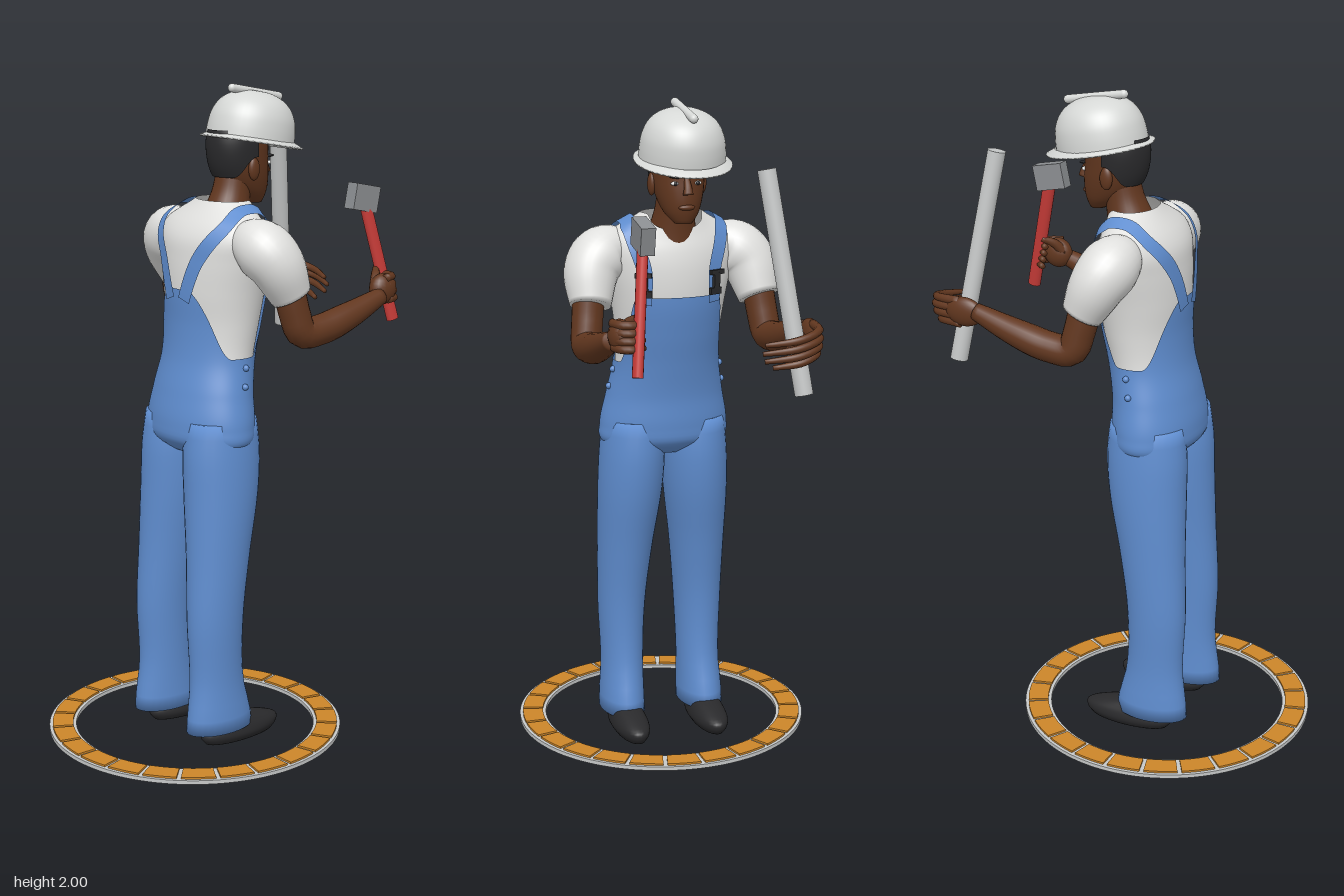
import * as THREE from 'three';
import { mergeVertices } from 'three/addons/utils/BufferGeometryUtils.js';

const V = (x, y, z) => new THREE.Vector3(x, y, z);
const mat = (name, color, side = THREE.FrontSide) => {
  const m = new THREE.MeshStandardMaterial({ color, side });
  m.name = name;
  return m;
};

// smooth surface from a rule p(u, v), faces outward along u x v
function grid(nu, nv, p) {
  const pos = [], idx = [];
  for (let j = 0; j <= nu; j++) for (let i = 0; i <= nv; i++) pos.push(...p(j / nu, i / nv, j).toArray());
  for (let j = 0; j < nu; j++) for (let i = 0; i < nv; i++) {
    const a = j * (nv + 1) + i, c = a + nv + 1;
    idx.push(a, c, a + 1, a + 1, c, c + 1);
  }
  let g = new THREE.BufferGeometry();
  g.setAttribute('position', new THREE.Float32BufferAttribute(pos, 3));
  g.setIndex(idx);
  g = mergeVertices(g, 1e-5);
  g.computeVertexNormals();
  return g;
}

// body of elliptical sections: rows of [y, centre x, centre z, radius x, radius z]
function body(rows, grow = 0) {
  const f = new THREE.CubicInterpolant(rows.map(r => r[0]), rows.flatMap(r => r.slice(1)), 4);
  return (y, a, k = 1) => {
    const [xc, zc, rx, rz] = f.evaluate(y);
    return V(xc + k * (rx + grow) * Math.cos(a), y, zc + k * (rz + grow) * Math.sin(a));
  };
}
function loft(rows, n = 32, m = 24) {
  const s = body(rows), y0 = rows[0][0], y1 = rows[rows.length - 1][0];
  return grid(m, n, (u, v, j) => s(y0 + (y1 - y0) * THREE.MathUtils.clamp((j - 1) / (m - 2), 0, 1),
    (v * 2 - 1) * Math.PI, j === 0 || j === m ? 0 : 1));
}

// tube with changing radius and closed ends
function sweep(pts, radii, n = 16, m = 20) {
  const c = new THREE.CatmullRomCurve3(pts.map(p => V(...p)));
  const fr = c.computeFrenetFrames(m, false);
  const f = new THREE.CubicInterpolant(radii.map((_, i) => i / (radii.length - 1)), radii, 1);
  return grid(m + 2, n, (u, v, j) => {
    const k = THREE.MathUtils.clamp(j - 1, 0, m), a = v * Math.PI * 2;
    const r = j === 0 || j === m + 2 ? 0 : f.evaluate(k / m)[0];
    return c.getPointAt(k / m).addScaledVector(fr.normals[k], r * Math.cos(a))
      .addScaledVector(fr.binormals[k], -r * Math.sin(a));
  });
}

export function createModel() {
  const root = new THREE.Group();
  root.name = 'worker';
  const DS = THREE.DoubleSide;
  const blue = mat('overall blue', 0x5f8dcf, DS), white = mat('shirt white', 0xe0e0de, DS);
  const hatM = mat('helmet white', 0xd6d8d6, DS), skin = mat('skin brown', 0x62371f);
  const dark = mat('black', 0x29292b, DS), steel = mat('steel grey', 0x8b8e91);
  const pale = mat('pale grey', 0xc6c8c8), red = mat('handle red', 0xc93c38), orange = mat('tile orange', 0xcc8629);
  const add = (name, geo, m, parent = root) => {
    const o = new THREE.Mesh(geo, m);
    o.name = name;
    parent.add(o);
    return o;
  };
  const ball = (name, m, p, s) => {
    const o = add(name, new THREE.SphereGeometry(1, 20, 14), m);
    o.position.set(...p);
    o.scale.set(...s);
    return o;
  };
  // straight rod between two points
  const rod = (name, m, a, b, r, sides) => {
    const A = V(...a), B = V(...b);
    const o = add(name, new THREE.CylinderGeometry(r, r, A.distanceTo(B), sides), m);
    o.position.copy(A).lerp(B, 0.5);
    o.quaternion.setFromUnitVectors(V(0, 1, 0), A.sub(B).normalize());
    return o;
  };

  // floor ring with 24 tiles
  const sector = (r0, r1, a0, a1, depth, y) => {
    const s = new THREE.Shape();
    s.absarc(0, 0, r1, a0, a1, false);
    s.absarc(0, 0, r0, a1, a0, true);
    return new THREE.ExtrudeGeometry(s, { depth, bevelEnabled: false, curveSegments: 8 })
      .rotateX(-Math.PI / 2).translate(-0.112, y, 0);
  };
  for (let i = 0; i < 24; i++) {
    const a = i * Math.PI / 12, d = Math.PI / 12;
    add('ringBase', sector(0.373, 0.457, a, a + d, 0.012, 0.014), pale);
    add('ringTile', sector(0.383, 0.447, a + 0.015, a + d - 0.015, 0.007, 0.025), orange);
  }

  // torso: shirt, overalls and straps share one set of sections
  const torso = [[0.9, -0.088, 0, 0.05, 0.12], [0.95, -0.087, 0, 0.115, 0.19], [1.0, -0.085, 0, 0.124, 0.195],
    [1.1, -0.075, 0, 0.118, 0.177], [1.2, -0.055, 0, 0.115, 0.16], [1.3, -0.04, 0, 0.122, 0.164],
    [1.4, -0.033, 0, 0.132, 0.178], [1.5, -0.03, 0, 0.13, 0.198], [1.56, -0.03, 0, 0.12, 0.207],
    [1.6, -0.025, 0, 0.102, 0.193], [1.63, -0.015, 0, 0.085, 0.15], [1.66, 0, 0, 0.072, 0.1], [1.69, 0.012, 0, 0.062, 0.07]];
  const shirt = body(torso), overall = body(torso, 0.007);
  const step = THREE.MathUtils.smoothstep;
  add('shirt', grid(40, 64, (u, v) => {
    const a = (v * 2 - 1) * Math.PI;
    return shirt(1.1 + (0.565 - 0.05 * (1 - step(Math.abs(a), 0, 1.2))) * u, a);
  }), white);
  add('overalls', grid(40, 120, (u, v, j) => {
    const a = (v * 2 - 1) * Math.PI, b = Math.abs(a);
    const top = 1.21 + 0.21 * (1 - step(b, 0.72, 1.25)) + 0.2 * step(b, 1.9, 2.95);
    return overall(0.9 + (top - 0.9) * u, a, j ? 1 : 0);
  }), blue);
  const normalAt = (y, a) => {
    const p = shirt(y, a);
    return shirt(y + 0.002, a).sub(p).cross(shirt(y, a + 0.01).sub(p)).normalize();
  };

  const shoeRows = [[0, 0.13, 0.045], [0.02, 0.146, 0.056], [0.042, 0.142, 0.054], [0.062, 0.11, 0.047], [0.085, 0.07, 0.04], [0.12, 0.06, 0.038]];
  for (const s of [1, -1]) {
    // trouser legs and shoes
    add('trouserLeg', loft([[0.05, -0.12, 0.13 * s, 0.118, 0.07], [0.1, -0.122, 0.13 * s, 0.112, 0.069],
      [0.2, -0.128, 0.127 * s, 0.093, 0.066], [0.4, -0.133, 0.126 * s, 0.094, 0.074], [0.6, -0.115, 0.118 * s, 0.104, 0.086],
      [0.8, -0.093, 0.106 * s, 0.122, 0.1], [0.93, -0.087, 0.1 * s, 0.126, 0.1], [1.02, -0.085, 0.098 * s, 0.115, 0.092]]), blue);
    add('shoe', loft(shoeRows.map(([y, rx, rz], i) => [y, [-0.04, -0.04, -0.04, -0.06, -0.1, -0.11][i], 0.13 * s, rx, rz])), dark);

    // strap over the shoulder
    const path = new THREE.CatmullRomCurve3([[0.62, 1.4], [0.56, 1.5], [0.68, 1.58], [1.1, 1.627], [1.57, 1.638],
      [2.1, 1.625], [2.45, 1.58], [2.75, 1.5], [2.97, 1.38]].map(([a, y]) => V(a, y, 0)));
    const on = t => {
      const q = path.getPoint(t);
      return shirt(q.y, q.x * s).addScaledVector(normalAt(q.y, q.x * s), 0.012);
    };
    add('strap', grid(60, 2, (u, v) => {
      const q = path.getPoint(u), t = on(Math.min(1, u + 0.01)).sub(on(Math.max(0, u - 0.01))).normalize();
      return on(u).addScaledVector(normalAt(q.y, q.x * s).cross(t).normalize(), (v - 0.5) * 0.046);
    }), blue);

    // buckle and hip buttons
    for (const [y, w, h] of [[1.49, 0.05, 0.014], [1.465, 0.022, 0.05], [1.435, 0.042, 0.02]]) {
      const n = normalAt(y, 0.58 * s), o = add('buckle', new THREE.BoxGeometry(w, h, 0.01), dark);
      o.position.copy(shirt(y, 0.58 * s)).addScaledVector(n, 0.018);
      o.lookAt(o.position.clone().add(n));
    }
    for (const y of [1.125, 1.18]) {
      const n = normalAt(y, 1.5 * s), o = add('hipButton', new THREE.SphereGeometry(0.01, 12, 8), blue);
      o.position.copy(shirt(y, 1.5 * s)).addScaledVector(n, 0.009);
    }

    // sleeve and arm
    add('sleeve', sweep([[-0.03, 1.55, 0.12 * s], [-0.028, 1.548, 0.19 * s], [-0.005, 1.505, 0.243 * s], [0.045, 1.4, 0.264 * s]],
      [0.05, 0.086, 0.08, 0.062], 28), white);
    add('arm', sweep([[0.03, 1.44, 0.264 * s], [0.048, 1.35, 0.275 * s], [0.07, 1.292, 0.283 * s], [0.14, 1.292, 0.287 * s],
      [0.25, 1.32, 0.29 * s], [0.385, 1.365, 0.29 * s]], [0.048, 0.047, 0.046, 0.045, 0.037, 0.026], 20, 32), skin);

    // ear, eye and brow
    ball('ear', skin, [0.058, 1.755, 0.078 * s], [0.02, 0.034, 0.012]);
    ball('eye', white, [0.149, 1.765, 0.034 * s], [0.008, 0.006, 0.013]);
    ball('pupil', dark, [0.155, 1.765, 0.034 * s], [0.004, 0.006, 0.006]);
    ball('brow', dark, [0.152, 1.785, 0.036 * s], [0.008, 0.005, 0.022]).rotation.x = -0.15 * s;
  }

  // neck, head and hair
  add('neck', sweep([[0.0, 1.55, 0], [0.015, 1.61, 0], [0.032, 1.67, 0], [0.05, 1.75, 0]], [0.085, 0.07, 0.058, 0.056], 28), skin);
  const head = [[1.645, 0.122, 0, 0.024, 0.026], [1.67, 0.103, 0, 0.053, 0.048], [1.7, 0.086, 0, 0.076, 0.062],
    [1.74, 0.072, 0, 0.09, 0.073], [1.78, 0.064, 0, 0.095, 0.078], [1.84, 0.062, 0, 0.096, 0.08], [1.9, 0.062, 0, 0.08, 0.07]];
  add('head', loft(head), skin);
  const scalp = body(head, 0.007);
  add('hair', grid(10, 32, (u, v) => {
    const a = 1.5 + v * (2 * Math.PI - 3), low = 1.79 - 0.06 * step(Math.sin(v * Math.PI), 0.1, 0.8);
    return scalp(low + (1.87 - low) * u, a);
  }), dark);
  add('nose', sweep([[0.152, 1.782, 0], [0.166, 1.755, 0], [0.17, 1.733, 0]], [0.008, 0.011, 0.016], 12, 8), skin);
  ball('lips', skin, [0.156, 1.695, 0], [0.012, 0.009, 0.025]);

  // safety helmet
  const hat = new THREE.Group();
  hat.name = 'helmet';
  hat.position.set(0.115, 1.828, 0);
  hat.rotation.z = -0.18;
  root.add(hat);
  const P = (x, y) => new THREE.Vector2(x, y);
  const dome = new THREE.SplineCurve([P(0.14, 0.008), P(0.138, 0.04), P(0.131, 0.075), P(0.113, 0.108), P(0.085, 0.131), P(0.045, 0.146), P(0, 0.15)]);
  const shell = add('helmetShell', new THREE.LatheGeometry(dome.getPoints(24), 48), hatM, hat);
  shell.scale.z = 0.91;
  shell.position.x = -0.008;
  const brim = add('helmetBrim', new THREE.LatheGeometry([P(0.12, 0), P(0.165, -0.006), P(0.167, 0), P(0.138, 0.012)], 48), hatM, hat);
  brim.scale.z = 0.86;
  const ridge = add('helmetRidge', new THREE.CapsuleGeometry(0.013, 0.185, 6, 14), hatM, hat);
  ridge.rotation.z = Math.PI / 2;
  ridge.position.set(-0.012, 0.145, 0);

  // open hand curled round the pipe
  rod('pipe', pale, [0.368, 1.825, -0.168], [0.47, 1.19, -0.253], 0.027, 28);
  ball('leftPalm', skin, [0.425, 1.357, -0.287], [0.062, 0.045, 0.024]);
  for (let i = 0; i < 4; i++) {
    const y = 1.388 - 0.023 * i, k = [0.95, 1, 0.96, 0.8][i];
    add('leftFinger', sweep([[0.44, y, -0.288], [0.44 + 0.09 * k, y - 0.003, -0.272], [0.44 + 0.12 * k, y - 0.02, -0.29 + 0.09 * k],
      [0.44 + 0.09 * k, y - 0.035, -0.29 + 0.185 * k]], [0.014, 0.012, 0.011, 0.007], 10, 14), skin);
  }
  add('leftThumb', sweep([[0.385, 1.36, -0.285], [0.435, 1.345, -0.262], [0.5, 1.335, -0.192]], [0.02, 0.015, 0.008], 10, 12), skin);

  // hammer
  const grip = rod('hammerHandle', red, [0.395, 1.64, 0.203], [0.482, 1.275, 0.245], 0.021, 16);
  grip.scale.z = 0.75;
  const block = add('hammerHead', new THREE.BoxGeometry(0.1, 0.08, 0.042), steel);
  block.position.set(0.388, 1.655, 0.2);
  block.rotation.z = -0.2;

  // fist on the hammer
  ball('rightPalm', skin, [0.408, 1.382, 0.274], [0.048, 0.048, 0.034]);
  for (let i = 0; i < 4; i++) {
    const y = 1.418 - 0.022 * i, x = 0.004 * i;
    add('rightFinger', sweep([[0.4 + x, y, 0.295], [0.44 + x, y, 0.278], [0.45 + x, y, 0.245], [0.42 + x, y - 0.004, 0.212]],
      [0.013, 0.013, 0.012, 0.009], 10, 12), skin);
  }
  add('rightThumb', sweep([[0.385, 1.39, 0.265], [0.405, 1.42, 0.245], [0.435, 1.44, 0.215]], [0.018, 0.014, 0.009], 10, 10), skin);
  return root;
}
